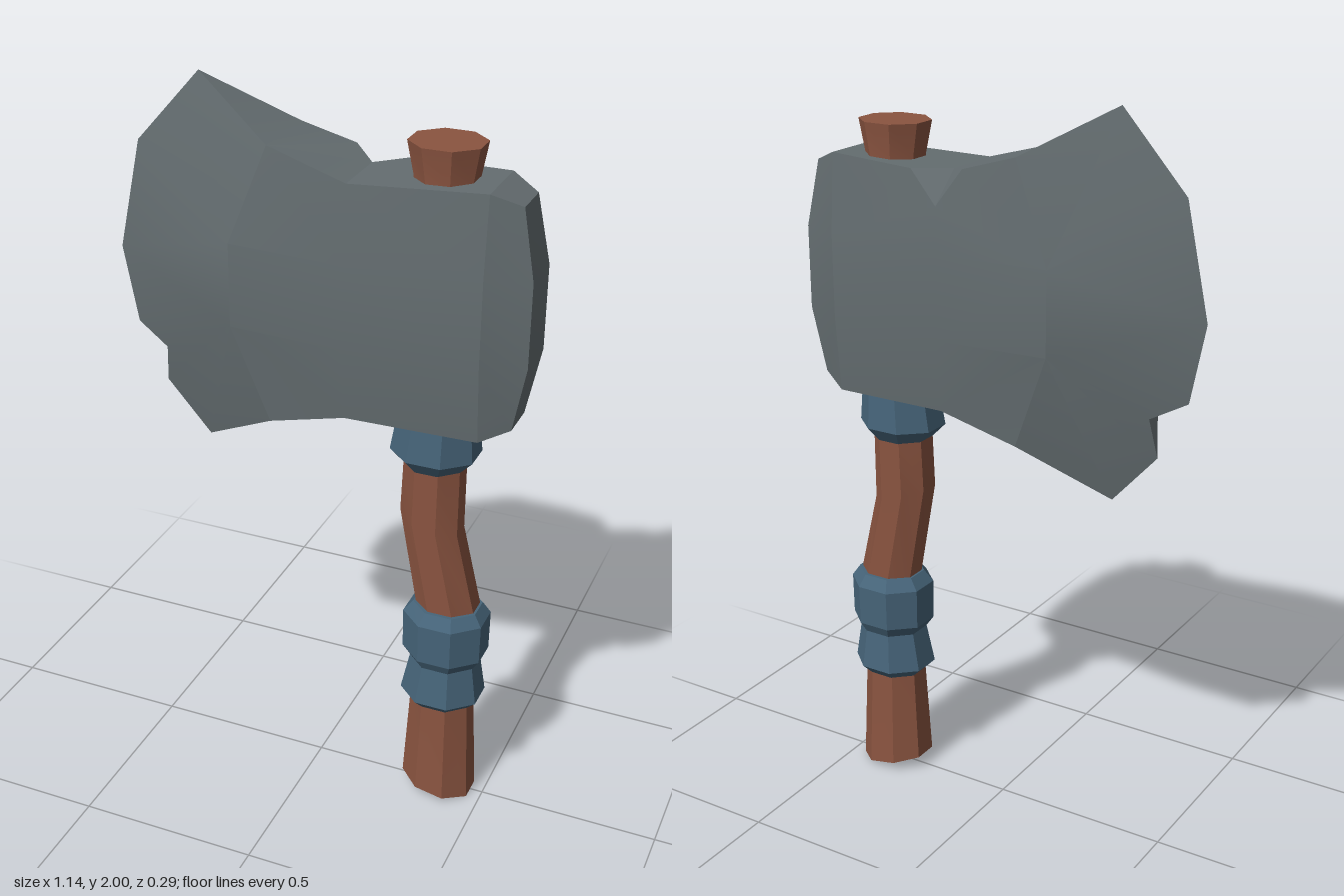
import * as THREE from 'three';
import { toCreasedNormals } from 'three/addons/utils/BufferGeometryUtils.js';

const steel = new THREE.MeshStandardMaterial({ color: 0x646d70 });
const wood = new THREE.MeshStandardMaterial({ color: 0x8a5440 });
const wrap = new THREE.MeshStandardMaterial({ color: 0x466479 });

function makeMesh(name, positions, material, crease) {
  const geo = new THREE.BufferGeometry();
  geo.setAttribute('position', new THREE.Float32BufferAttribute(positions, 3));
  const mesh = new THREE.Mesh(toCreasedNormals(geo, crease), material);
  mesh.name = name;
  return mesh;
}

// Eight-sided loft; rings run bottom to top as [y, centreX, halfX, halfZ, tilt]
function loft(name, rings, material) {
  const n = 8, k = 1 / Math.cos(Math.PI / n), out = [];
  const pts = rings.map(([y, cx, rx, rz, tilt = 0]) =>
    Array.from({ length: n }, (_, i) => {
      const a = ((i + 0.5) / n) * Math.PI * 2;
      const dx = Math.cos(a) * rx * k;
      return [cx + dx, y + tilt * dx, Math.sin(a) * rz * k];
    }));
  const last = pts[pts.length - 1];
  for (let r = 0; r < pts.length - 1; r++) {
    for (let i = 0; i < n; i++) {
      const j = (i + 1) % n, a = pts[r][i], b = pts[r][j], c = pts[r + 1][j], d = pts[r + 1][i];
      out.push(...a, ...c, ...b, ...a, ...d, ...c);
    }
  }
  for (let i = 1; i < n - 1; i++) {
    out.push(...pts[0][0], ...pts[0][i], ...pts[0][i + 1]);
    out.push(...last[0], ...last[i + 1], ...last[i]);
  }
  return makeMesh(name, out, material, 0.45);
}

function axeHead() {
  const out = [];
  const v = (p) => new THREE.Vector3(...p);
  // Fan a polygon from its first corner, turning each triangle away from the core
  const poly = (...p) => {
    for (let i = 1; i < p.length - 1; i++) {
      const a = v(p[0]), b = v(p[i]), c = v(p[i + 1]);
      const mid = a.clone().add(b).add(c).divideScalar(3);
      const core = new THREE.Vector3(THREE.MathUtils.clamp(mid.x, -0.2, 0.4), 1.5, 0);
      const normal = b.clone().sub(a).cross(c.clone().sub(a));
      const tri = normal.dot(mid.sub(core)) > 0 ? [a, b, c] : [a, c, b];
      tri.forEach((q) => out.push(q.x, q.y, q.z));
    }
  };

  // Cross-sections from bit to poll: rim x, top y, bottom y, rim z, cheek x, cheek z
  const sections = [
    [-0.10, 1.87, 1.125, 0.105, -0.2, 0.125],
    [0.115, 1.81, 1.187, 0.123, 0.115, 0.146],
    [0.46, 1.822, 1.173, 0.09, 0.46, 0.108],
    [0.535, 1.79, 1.205, 0.054, 0.57, 0.065],
  ];
  const side = (s) => sections.map(([x, t, b, z, mx, mz]) =>
    [[x, t, s * z], [mx, 1.61, s * mz], [mx, 1.385, s * mz], [x, b, s * z]]);
  const F = side(1), B = side(-1);

  // Chip in the back upper rim
  const chipL = [0.045, 1.828, -0.118], chipR = [0.2, 1.813, -0.115];
  const chipTop = [0.115, 1.81, -0.045], chipLow = [0.115, 1.73, -0.134];
  poly(chipL, chipTop, chipLow);
  poly(chipTop, chipR, chipLow);

  // Cheeks, top and underside
  for (let i = 0; i < 3; i++) {
    for (let j = 0; j < 3; j++) {
      poly(F[i][j], F[i + 1][j], F[i + 1][j + 1], F[i][j + 1]);
      if (j > 0 || i === 2) poly(B[i][j], B[i + 1][j], B[i + 1][j + 1], B[i][j + 1]);
    }
    poly(F[i][3], F[i + 1][3], B[i + 1][3], B[i][3]);
  }
  poly(F[0][0], B[0][0], chipL, chipTop, F[1][0]);
  poly(F[2][0], F[1][0], chipTop, chipR, B[2][0]);
  poly(F[2][0], F[3][0], B[3][0], B[2][0]);
  poly(B[0][1], B[0][0], chipL, chipLow, B[1][1]);
  poly(B[2][1], B[1][1], chipLow, chipR, B[2][0]);

  // Poll face
  for (let j = 0; j < 3; j++) poly(F[3][j], B[3][j], B[3][j + 1], F[3][j + 1]);

  // Tapered bit with a nick low on the cutting edge
  const e = [[-0.33, 2], [-0.51, 1.8], [-0.575, 1.5], [-0.535, 1.29], [-0.455, 1.13], [-0.33, 0.99]]
    .map(([x, y]) => [x, y, 0]);
  const nick = (s) => [-0.44, 1.24, s * 0.024];
  for (const [S, s] of [[F, 1], [B, -1]]) {
    const [top, up, low, bottom] = S[0];
    poly(up, top, e[0], e[1], e[2], low);
    poly(low, e[2], e[3], nick(s), e[4], e[5], bottom);
  }
  poly(F[0][0], B[0][0], e[0]);
  poly(F[0][3], B[0][3], e[5]);
  poly(e[3], nick(1), nick(-1));
  poly(e[4], nick(1), nick(-1));

  return makeMesh('axeHead', out, steel, 0.25);
}

export function createModel() {
  const group = new THREE.Group();
  group.name = 'axe';
  group.add(axeHead());

  // Curved haft from the slanted butt to the flared top
  group.add(loft('handle', [
    [0.02, 0.367, 0.097, 0.086, -0.2],
    [0.31, 0.367, 0.083, 0.072],
    [0.62, 0.373, 0.082, 0.07],
    [0.875, 0.319, 0.08, 0.07, -0.3],
    [1.06, 0.322, 0.077, 0.07],
    [1.82, 0.325, 0.075, 0.07],
    [1.907, 0.324, 0.091, 0.083],
  ], wood));

  // Collar under the head
  group.add(loft('collar', [
    [1.04, 0.322, 0.075, 0.07],
    [1.08, 0.322, 0.112, 0.1],
    [1.2, 0.328, 0.098, 0.09],
  ], wrap));

  // Grip wrap
  group.add(loft('gripWrap', [
    [0.305, 0.368, 0.08, 0.072],
    [0.335, 0.368, 0.109, 0.1],
    [0.445, 0.371, 0.09, 0.084],
    [0.475, 0.371, 0.11, 0.1],
    [0.59, 0.371, 0.111, 0.102],
    [0.622, 0.373, 0.088, 0.08],
  ], wrap));

  return group;
}
